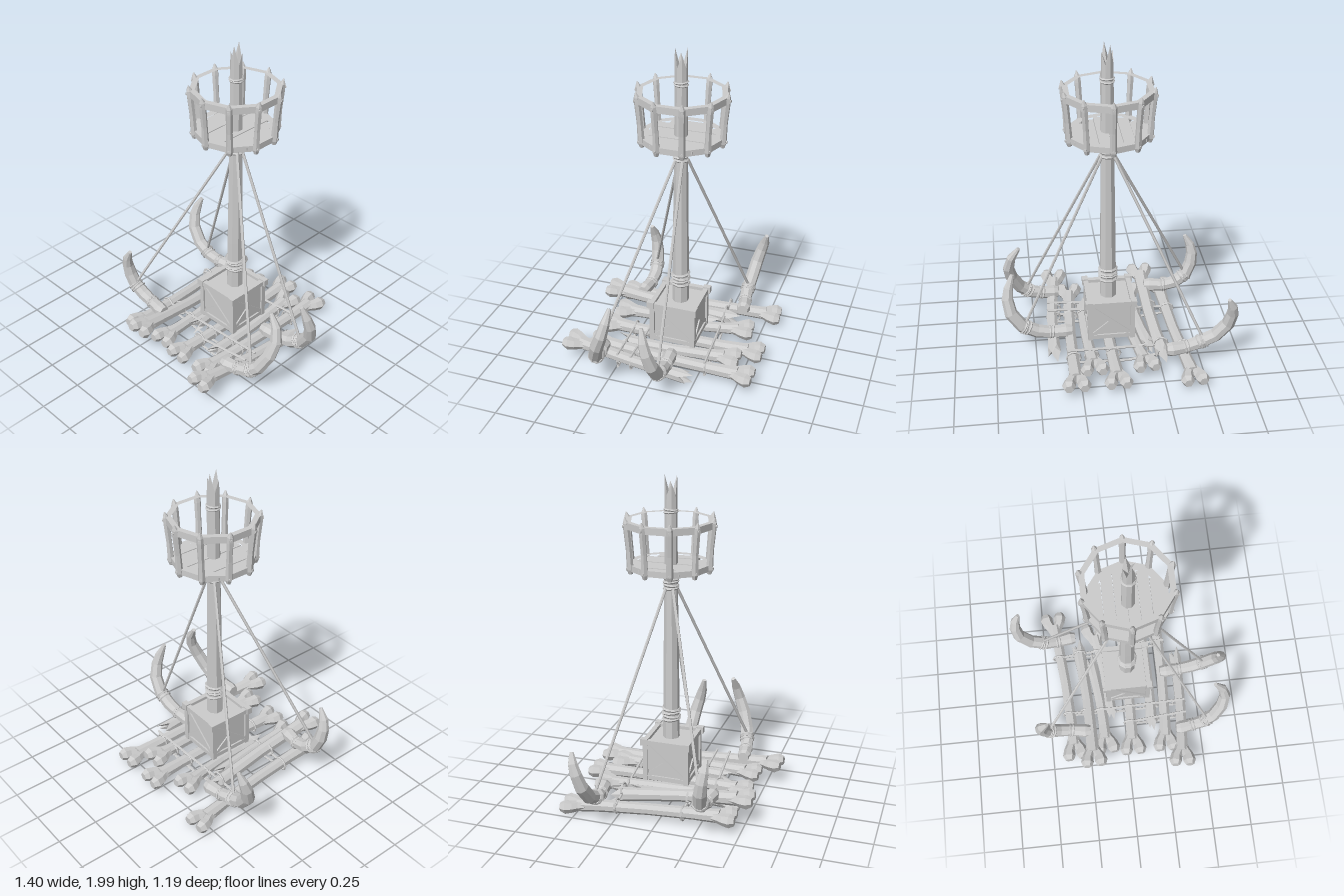
import * as THREE from 'three';

const mat = new THREE.MeshStandardMaterial({ color: 0xcccccc });
mat.name = 'bone grey';
mat.flatShading = true;
const V = (x, y, z) => new THREE.Vector3(x, y, z);
const MX = 0.042, MZ = -0.055; // mast axis

function add(parent, name, geo) {
  const m = new THREE.Mesh(geo, mat);
  m.name = name;
  parent.add(m);
  return m;
}

// Sweep a polygon through [x, y, z, radius] points; jag > 0 splinters the far end
function sweep(pts, sides = 6, jag = 0) {
  const P = pts.map(p => V(p[0], p[1], p[2])), n = P.length, rings = [], pos = [];
  let N = null, T;
  for (let i = 0; i < n; i++) {
    T = P[Math.min(i + 1, n - 1)].clone().sub(P[Math.max(i - 1, 0)]).normalize();
    if (!N) N = Math.abs(T.y) > 0.8 ? V(0, 0, 1) : V(0, 1, 0);
    N = N.clone().addScaledVector(T, -N.dot(T)).normalize();
    const B = T.clone().cross(N), ring = [];
    for (let j = 0; j < sides; j++) {
      const a = (j + 0.5) / sides * Math.PI * 2;
      const v = P[i].clone().addScaledVector(N, Math.cos(a) * pts[i][3]).addScaledVector(B, Math.sin(a) * pts[i][3]);
      if (jag && i === n - 1) v.addScaledVector(T, j % 2 ? 0 : jag * (j % 4 ? 0.6 : 1));
      ring.push(v);
    }
    rings.push(ring);
  }
  const tri = (...vs) => vs.forEach(v => pos.push(v.x, v.y, v.z));
  const end = P[n - 1].clone().addScaledVector(T, -jag * 0.2);
  for (let j = 0; j < sides; j++) {
    const k = (j + 1) % sides;
    for (let i = 0; i < n - 1; i++) {
      const a = rings[i], b = rings[i + 1];
      tri(a[j], a[k], b[k]);
      tri(a[j], b[k], b[j]);
    }
    tri(P[0], rings[0][k], rings[0][j]);
    tri(end, rings[n - 1][j], rings[n - 1][k]);
  }
  const g = new THREE.BufferGeometry();
  g.setAttribute('position', new THREE.Float32BufferAttribute(pos, 3));
  g.computeVertexNormals();
  return g;
}

// Stack of rope rings around an axis
function wrap(parent, at, dir, r, count, tube = 0.009) {
  const d = dir.clone().normalize();
  for (let i = 0; i < count; i++) {
    const m = add(parent, 'ropeWrap', new THREE.TorusGeometry(r, tube, 5, 10));
    m.position.copy(at).addScaledVector(d, (i - (count - 1) / 2) * tube * 2.2);
    m.quaternion.setFromUnitVectors(V(0, 0, 1), d);
    m.rotateX(i % 2 ? 0.08 : -0.08);
  }
}

function rope(parent, name, a, b, r = 0.009) {
  add(parent, name, sweep([[a.x, a.y, a.z, r], [b.x, b.y, b.z, r]], 6));
}

// Deck bone with a forked knob or a splintered break at each end
function bone(parent, a, b, kinds, r = 0.037) {
  const g = new THREE.Group();
  g.name = 'deckBone';
  parent.add(g);
  const A = V(...a), B = V(...b), d = B.clone().sub(A).normalize();
  const side = V(d.z, 0, -d.x).normalize();
  const inset = k => (k === 'k' ? 0.095 : 0.07);
  const s = A.clone().addScaledVector(d, inset(kinds[0])), e = B.clone().addScaledVector(d, -inset(kinds[1]));
  const shaft = [0, 0.18, 0.5, 0.82, 1].map((t, i) => {
    const p = s.clone().lerp(e, t).addScaledVector(side, Math.sin(t * Math.PI) * 0.012);
    return [p.x, p.y, p.z, r * [1.15, 1, 0.95, 1, 1.15][i]];
  });
  if (kinds[0] === 's') shaft.reverse();
  add(g, 'boneShaft', sweep(shaft, 8, kinds.includes('s') ? 0.08 : 0));
  [[A, d, kinds[0]], [B, d.clone().negate(), kinds[1]]].forEach(([end, inward, kind]) => {
    if (kind !== 'k') return;
    for (const sg of [-1, 1]) {
      const pt = (back, off, rad) => {
        const p = end.clone().addScaledVector(inward, back).addScaledVector(side, sg * off);
        return [p.x, p.y, p.z, rad];
      };
      add(g, 'boneKnob', sweep([pt(0.15, 0.008, 0.026), pt(0.1, 0.022, 0.032), pt(0.068, 0.038, 0.036),
        pt(0.03, 0.046, 0.042), pt(0, 0.047, 0.027)], 6));
    }
  });
}

function buildRaft(root) {
  const raft = new THREE.Group();
  raft.name = 'raft';
  root.add(raft);
  bone(raft, [-0.425, 0.06, -0.59], [-0.345, 0.1, 0.465], 'kk');
  bone(raft, [-0.265, 0.08, -0.35], [-0.23, 0.175, 0.54], 'sk', 0.04);
  bone(raft, [-0.155, 0.1, -0.475], [-0.08, 0.08, 0.2], 'ks', 0.035);
  bone(raft, [-0.19, 0.08, -0.24], [-0.135, 0.085, 0.44], 'sk', 0.037);
  bone(raft, [0.035, 0.08, -0.59], [0.035, 0.085, 0.465], 'kk');
  bone(raft, [0.165, 0.1, -0.475], [0.18, 0.08, 0.3], 'ks', 0.036);
  bone(raft, [0.285, 0.08, -0.59], [0.255, 0.095, 0.465], 'kk');
  bone(raft, [0.395, 0.06, -0.24], [0.345, 0.14, 0.585], 'sk');

  // Cross lashings above and below the deck, with a loop on each bone
  const lashes = [[-0.43, -0.25, 0.32, -0.3, [-0.4, -0.26, -0.14, 0.035, 0.17, 0.28]],
    [-0.4, 0.15, 0.41, 0.14, [-0.365, -0.245, -0.15, 0.035, 0.18, 0.265, 0.375]],
    [0, 0.25, 0.41, 0.225, [0.035, 0.26, 0.365]]];
  for (const [x0, z0, x1, z1, loops] of lashes) {
    rope(raft, 'lashingTop', V(x0, 0.1, z0), V(x1, 0.14, z1), 0.008);
    const mid = (x0 + x1) / 2, mz = (z0 + z1) / 2;
    add(raft, 'lashingUnder', sweep([[x0, 0.06, z0, 0.008], [mid, 0.02, mz, 0.008], [x1, 0.05, z1, 0.008]]));
    for (const x of loops) {
      const z = z0 + (z1 - z0) * (x - x0) / (x1 - x0);
      wrap(raft, V(x, x < -0.2 && x > -0.3 ? 0.12 : 0.085, z), V(0, 0, 1), 0.042, 1, 0.007);
    }
  }
}

// Curved tusks with stay ropes to the mast; tie is where the rope sits between points 3 and 4
function buildTusks(root) {
  const radii = [0.034, 0.044, 0.038, 0.042, 0.042, 0.041, 0.036, 0.029, 0.012];
  const tusks = [
    { tie: 0.2, path: [[-0.28, 0.15, -0.37], [-0.31, 0.15, -0.37], [-0.4, 0.15, -0.355], [-0.48, 0.17, -0.345],
      [-0.58, 0.22, -0.35], [-0.65, 0.31, -0.365], [-0.668, 0.4, -0.39], [-0.66, 0.46, -0.41], [-0.635, 0.52, -0.425]] },
    { tie: 0.85, path: [[-0.235, 0.18, 0.3], [-0.27, 0.18, 0.3], [-0.36, 0.18, 0.285], [-0.44, 0.2, 0.285],
      [-0.51, 0.25, 0.295], [-0.545, 0.33, 0.305], [-0.553, 0.4, 0.315], [-0.54, 0.46, 0.325], [-0.505, 0.525, 0.33]] },
    { tie: 0.75, path: [[0.27, 0.13, -0.075], [0.31, 0.13, -0.075], [0.4, 0.13, -0.08], [0.49, 0.15, -0.085],
      [0.58, 0.2, -0.09], [0.645, 0.29, -0.08], [0.662, 0.38, -0.055], [0.652, 0.45, -0.035], [0.625, 0.53, -0.015]] },
    { tie: 0.3, path: [[0.33, 0.15, 0.335], [0.36, 0.15, 0.335], [0.44, 0.16, 0.325], [0.51, 0.18, 0.315],
      [0.58, 0.24, 0.295], [0.63, 0.34, 0.26], [0.645, 0.43, 0.225], [0.625, 0.51, 0.205], [0.575, 0.585, 0.195]] }];
  for (const { tie, path } of tusks) {
    const g = new THREE.Group();
    g.name = 'tuskWithStay';
    root.add(g);
    add(g, 'tusk', sweep(path.map((p, i) => [...p, radii[i]]), 8));
    const P = path.map(p => V(...p));
    wrap(g, P[2], P[3].clone().sub(P[1]), 0.038, 2, 0.007);
    const at = P[3].clone().lerp(P[4], tie);
    wrap(g, at, P[4].clone().sub(P[3]), 0.042, 3, 0.007);
    rope(g, 'stayRope', at.clone().add(V(0, 0.03, 0)), V(MX + Math.sign(at.x) * 0.03, 1.34, MZ + Math.sign(at.z) * 0.02));
  }
}

// Crate holding the mast foot
function buildCrate(root) {
  const c = new THREE.Group();
  c.name = 'crate';
  c.position.set(0.035, 0.255, -0.045);
  root.add(c);
  add(c, 'crateBody', new THREE.BoxGeometry(0.265, 0.24, 0.265));
  for (let i = 0; i < 4; i++) {
    const f = new THREE.Group();
    f.name = 'crateSide';
    f.rotation.y = i * Math.PI / 2;
    c.add(f);
    const bar = (name, w, h, d, x, y, z, rz = 0) => {
      const m = add(f, name, new THREE.BoxGeometry(w, h, d));
      m.position.set(x, y, z);
      m.rotation.z = rz;
    };
    bar('cratePost', 0.03, 0.25, 0.03, 0.13, -0.005, 0.13);
    bar('bottomRail', 0.26, 0.028, 0.02, 0, -0.11, 0.133);
    bar('topRail', 0.29, 0.03, 0.03, 0, 0.125, 0.133);
    bar('railEnd', 0.035, 0.042, 0.045, 0.137, 0.127, 0.137);
    bar('longBrace', 0.31, 0.026, 0.014, 0, 0, 0.134, -0.7);
    bar('shortBrace', 0.155, 0.026, 0.014, -0.058, -0.05, 0.134, 0.7);
  }
}

function buildMast(root) {
  add(root, 'mast', sweep([[MX, 0.34, MZ, 0.052], [MX, 0.7, MZ, 0.049], [MX, 1.3, MZ, 0.041],
    [MX, 1.8, MZ, 0.037], [MX, 1.885, MZ, 0.036]], 8, 0.115));
  const up = V(0, 1, 0);
  wrap(root, V(MX, 0.53, MZ), up, 0.051, 4, 0.01);
  wrap(root, V(MX, 1.36, MZ), up, 0.041, 4);
  wrap(root, V(MX, 1.79, MZ), up, 0.037, 2, 0.007);
}

// Ten-sided lookout basket
function buildBasket(root) {
  const b = new THREE.Group();
  b.name = 'lookoutBasket';
  b.position.set(MX - 0.005, 0, MZ - 0.005);
  root.add(b);
  const decagon = r => Array.from({ length: 10 }, (_, i) =>
    new THREE.Vector2(Math.sin(i * Math.PI / 5) * r, Math.cos(i * Math.PI / 5) * r));
  const ring = (name, outer, inner, y, h) => {
    const s = new THREE.Shape(decagon(outer));
    s.holes.push(new THREE.Path(decagon(inner)));
    const m = add(b, name, new THREE.ExtrudeGeometry(s, { depth: h, bevelEnabled: false }));
    m.rotation.x = -Math.PI / 2;
    m.position.y = y;
  };
  ring('floorRim', 0.245, 0.2, 1.452, 0.036);
  ring('handRail', 0.266, 0.232, 1.7, 0.04);
  // Floor planks cut to the rim
  for (let i = 0; i < 6; i++) {
    const x = (i - 2.5) * 0.068;
    const len = 2 * Math.sqrt(0.22 ** 2 - x * x) - 0.03;
    const p = add(b, 'floorPlank', new THREE.BoxGeometry(0.066, 0.016, len));
    p.position.set(x, 1.468 + (i % 2) * 0.003, 0);
  }
  // Pointed, slightly bowed uprights with pegs
  for (let i = 0; i < 10; i++) {
    const g = new THREE.Group();
    g.name = 'basketPost';
    g.rotation.y = i * Math.PI / 5;
    b.add(g);
    add(g, 'upright', sweep([[0, 1.435, 0.238, 0.013], [0, 1.46, 0.24, 0.021], [0, 1.58, 0.247, 0.018],
      [0, 1.7, 0.258, 0.02], [0, 1.735, 0.262, 0.018], [0, 1.766, 0.268, 0.003]], 6));
    for (const [y, z] of [[1.468, 0.258], [1.717, 0.276]]) {
      const peg = add(g, 'peg', new THREE.CylinderGeometry(0.009, 0.009, 0.012, 6));
      peg.rotation.x = Math.PI / 2;
      peg.position.set(0, y, z);
    }
  }
}

export function createModel() {
  const root = new THREE.Group();
  root.name = 'boneRaft';
  buildRaft(root);
  buildTusks(root);
  buildCrate(root);
  buildMast(root);
  buildBasket(root);
  return root;
}
